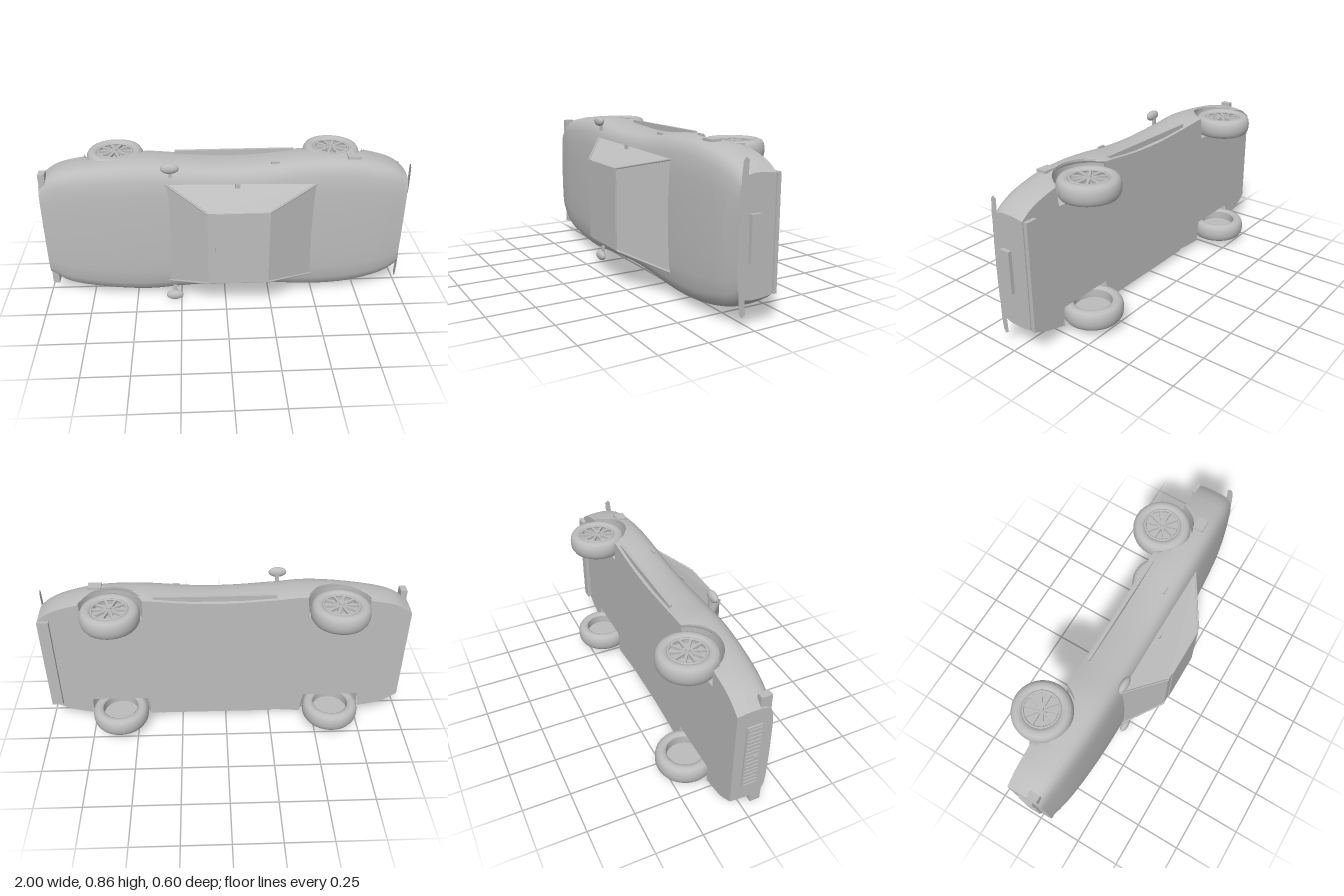
import * as THREE from 'three';
import { toCreasedNormals } from 'three/addons/utils/BufferGeometryUtils.js';

// The car lies on its side: nose towards -x, roof towards +z, width along y.
const FLOOR = -0.105, AXLE_Z = -0.15, AXLES = [-0.59, 0.595], ARCH_R = 0.168, WELL = 0.27;

export function createModel() {
  const paint = new THREE.MeshStandardMaterial({ color: 0xbcbcbc, side: THREE.DoubleSide });
  paint.name = 'light grey';
  const car = new THREE.Group();
  car.name = 'car';
  car.position.y = 0.4325;

  const add = (name, geometry, x = 0, y = 0, z = 0, parent = car) => {
    const mesh = new THREE.Mesh(geometry, paint);
    mesh.name = name;
    mesh.position.set(x, y, z);
    parent.add(mesh);
    return mesh;
  };
  const box = (name, sx, sy, sz, x, y, z, parent) =>
    add(name, new THREE.BoxGeometry(sx, sy, sz), x, y, z, parent);

  // Smooth curve through [x, value] pairs
  const curve = (pts) => (x) => {
    let i = 0;
    while (i < pts.length - 2 && x > pts[i + 1][0]) i++;
    const p = (k) => pts[Math.min(Math.max(k, 0), pts.length - 1)];
    const slope = (k) => (p(k + 1)[1] - p(k - 1)[1]) / (p(k + 1)[0] - p(k - 1)[0]);
    const h = p(i + 1)[0] - p(i)[0], t = (x - p(i)[0]) / h, t2 = t * t, t3 = t2 * t;
    return (2 * t3 - 3 * t2 + 1) * p(i)[1] + (t3 - 2 * t2 + t) * h * slope(i)
      + (3 * t2 - 2 * t3) * p(i + 1)[1] + (t3 - t2) * h * slope(i + 1);
  };
  const halfWidth = curve([[-0.98, 0.285], [-0.9, 0.338], [-0.8, 0.366], [-0.6, 0.393], [-0.42, 0.402],
    [-0.25, 0.388], [0, 0.373], [0.2, 0.378], [0.4, 0.397], [0.55, 0.402], [0.7, 0.392], [0.85, 0.358],
    [0.93, 0.325], [0.98, 0.287]]);
  const topZ = curve([[-0.98, 0.085], [-0.8, 0.117], [-0.55, 0.136], [-0.3, 0.14], [0.3, 0.135],
    [0.6, 0.13], [0.85, 0.115], [0.98, 0.095]]);
  // Lower edge of the body side, lifted over the wheels
  const sideBottom = (x) => {
    const d = Math.min(...AXLES.map((a) => Math.abs(x - a)));
    return d < ARCH_R ? Math.max(FLOOR, AXLE_Z + Math.sqrt(ARCH_R ** 2 - d * d)) : FLOOR;
  };

  // Body shell lofted along x: [share of half width, height]
  const half = [[0.97, -0.105], [0.99, -0.07], [1, -0.03], [1, 0.02], [0.985, 0.06], [0.955, 0.09],
    [0.9, 0.112], [0.8, 0.128], [0.6, 0.136], [0.3, 0.139], [0, 0.14]];
  const section = [...half, ...half.slice(0, -1).reverse().map(([u, z]) => [-u, z])];
  const N = 120, M = section.length, pos = [], idx = [];
  for (let i = 0; i <= N; i++) {
    const x = -0.98 + (1.96 * i) / N, w = halfWidth(x), k = topZ(x) / 0.14;
    for (const [u, z] of section) pos.push(x, u * w, Math.max(z > 0 ? z * k : z, sideBottom(x)));
  }
  for (let i = 0; i < N; i++) {
    for (let j = 0; j < M - 1; j++) {
      const a = i * M + j, b = a + M;
      idx.push(a, a + 1, b, b, a + 1, b + 1);
    }
  }
  for (let j = 1; j < M - 1; j++) {
    idx.push(0, j + 1, j, N * M, N * M + j, N * M + j + 1);
  }
  const shell = new THREE.BufferGeometry();
  shell.setAttribute('position', new THREE.Float32BufferAttribute(pos, 3));
  shell.setIndex(idx);
  // Put the outside of every face to the front
  for (let i = 0; i < N * (M - 1) * 6; i += 3) [idx[i + 1], idx[i + 2]] = [idx[i + 2], idx[i + 1]];
  shell.setIndex(idx);
  add('bodyShell', toCreasedNormals(shell, 0.6));

  // Flat floor with notches for the wheels
  const edge = [];
  for (let i = 0; i <= N; i++) {
    const x = -0.98 + (1.96 * i) / N;
    edge.push([x, sideBottom(x) > FLOOR ? WELL : 0.97 * halfWidth(x)]);
  }
  const outline = [...edge, ...edge.slice().reverse().map(([x, y]) => [x, -y])];
  const floorGeo = new THREE.ShapeGeometry(new THREE.Shape(outline.map(([x, y]) => new THREE.Vector2(x, y))));
  floorGeo.rotateX(Math.PI);
  add('floor', floorGeo, 0, 0, FLOOR);

  // Wheel wells and wheels
  const spread = Math.acos((FLOOR - AXLE_Z) / ARCH_R);
  const tyre = [[0.1, 0.044], [0.11, 0.051], [0.126, 0.052], [0.142, 0.045], [0.151, 0.03], [0.155, 0.01]];
  const tyreLoop = [...tyre, ...tyre.slice().reverse().map(([r, y]) => [r, -y]), [0.096, -0.04], [0.096, 0.04], [0.1, 0.044]]
    .map(([r, y]) => new THREE.Vector2(r, y)).reverse();
  for (const x of AXLES) {
    for (const s of [1, -1]) {
      add('wheelArch', new THREE.CylinderGeometry(ARCH_R, ARCH_R, 0.11, 32, 1, true, -spread, 2 * spread),
        x, s * (WELL + 0.055), AXLE_Z);
      const wall = new THREE.Shape();
      wall.absarc(0, 0, ARCH_R, Math.PI / 2 - spread, Math.PI / 2 + spread);
      add('wellWall', new THREE.ShapeGeometry(wall, 24).rotateX(Math.PI / 2), x, s * WELL, AXLE_Z);

      const wheel = new THREE.Group();
      wheel.name = 'wheel';
      wheel.position.set(x, s * 0.3305, AXLE_Z);
      if (s < 0) wheel.rotation.x = Math.PI;
      car.add(wheel);
      add('tyre', new THREE.LatheGeometry(tyreLoop, 40), 0, 0, 0, wheel);
      add('rimDisc', new THREE.CylinderGeometry(0.096, 0.096, 0.008, 32), 0, 0.008, 0, wheel);
      add('rimRing', new THREE.TorusGeometry(0.092, 0.007, 8, 40).rotateX(Math.PI / 2), 0, 0.04, 0, wheel);
      add('hub', new THREE.CylinderGeometry(0.022, 0.026, 0.034, 20), 0, 0.028, 0, wheel);
      add('hubCap', new THREE.CylinderGeometry(0.012, 0.014, 0.012, 16), 0, 0.05, 0, wheel);
      for (let i = 0; i < 10; i++) {
        const spoke = new THREE.BoxGeometry(0.075, 0.014, 0.012).translate(0.056, 0.036, 0);
        add('spoke', spoke, 0, 0, 0, wheel).rotation.y = (i * Math.PI) / 5;
      }
    }
  }

  // Cabin: lower and upper outline of four corners joined by flat panels
  const quad = (name, a, b, c, d) => {
    const g = new THREE.BufferGeometry();
    g.setAttribute('position', new THREE.Float32BufferAttribute([a, b, c, a, c, d].flat(), 3));
    g.computeVertexNormals();
    return add(name, g);
  };
  const base = [[-0.315, -0.305, 0.125], [0.48, -0.285, 0.125], [0.48, 0.285, 0.125], [-0.315, 0.305, 0.125]];
  const roof = [[-0.1, -0.216, 0.29], [0.222, -0.216, 0.29], [0.222, 0.216, 0.29], [-0.1, 0.216, 0.29]];
  ['rightSideGlass', 'rearWindow', 'leftSideGlass', 'windscreen'].forEach((name, i) => {
    const j = (i + 1) % 4;
    quad(name, base[i], base[j], roof[j], roof[i]);
  });
  quad('roof', ...roof);
  box('roofPanel', 0.275, 0.43, 0.006, 0.078, 0, 0.292);
  // Slim pillars along the cabin corners
  base.forEach((p, i) => {
    const path = new THREE.LineCurve3(new THREE.Vector3(...p), new THREE.Vector3(...roof[i]));
    add('pillar', new THREE.TubeGeometry(path, 1, 0.006, 6));
  });

  // Details on both flanks
  for (const s of [1, -1]) {
    const mirror = add('mirror', new THREE.SphereGeometry(1, 20, 14), -0.287, s * 0.4, 0.138);
    mirror.scale.set(0.048, 0.028, 0.021);
    box('mirrorStem', 0.02, 0.05, 0.014, -0.285, s * 0.37, 0.125);
    box('sillStrip', 0.64, 0.03, 0.016, 0.055, s * 0.383, -0.083);
    box('doorHandle', 0.045, 0.012, 0.01, 0.265, s * 0.381, 0.058);
    box('lockKnob', 0.026, 0.026, 0.008, 0.062, s * 0.292, 0.146);
    box('headlight', 0.035, 0.11, 0.055, -0.958, s * 0.288, 0.04);
    // Flat pointed tail lights
    const light = [[0.188, 0.075], [0.2, 0.085], [0.275, 0.085], [0.345, 0.078], [0.361, 0.065], [0.348, 0.047], [0.23, 0.052]];
    const lamp = new THREE.ShapeGeometry(new THREE.Shape(light.map(([y, z]) => new THREE.Vector2(s * y, z))));
    lamp.applyMatrix4(new THREE.Matrix4().set(0, 0, 1, 0, 1, 0, 0, 0, 0, 1, 0, 0, 0, 0, 0, 1));
    add('tailLight', lamp, 0.984, 0, 0);
  }
  box('fuelFlap', 0.07, 0.012, 0.056, 0.685, 0.397, 0.032);

  // Nose grille with bars, rear plate and rear lip
  box('grille', 0.012, 0.39, 0.08, -0.983, 0, -0.013);
  for (let i = 0; i < 16; i++) box('grilleBar', 0.006, 0.006, 0.07, -0.991, -0.18 + i * 0.024, -0.013);
  add('noseKnob', new THREE.CylinderGeometry(0.012, 0.012, 0.012, 16).rotateZ(Math.PI / 2), -0.994, 0, 0.005);
  box('rearPlate', 0.02, 0.22, 0.054, 0.99, 0, 0.008);
  box('rearLip', 0.06, 0.56, 0.02, 0.95, 0, -0.123);
  for (const y of [-0.27, -0.175, 0, 0.175, 0.27]) box('lipStrut', 0.03, 0.008, 0.02, 0.95, y, -0.108);
  return car;
}
